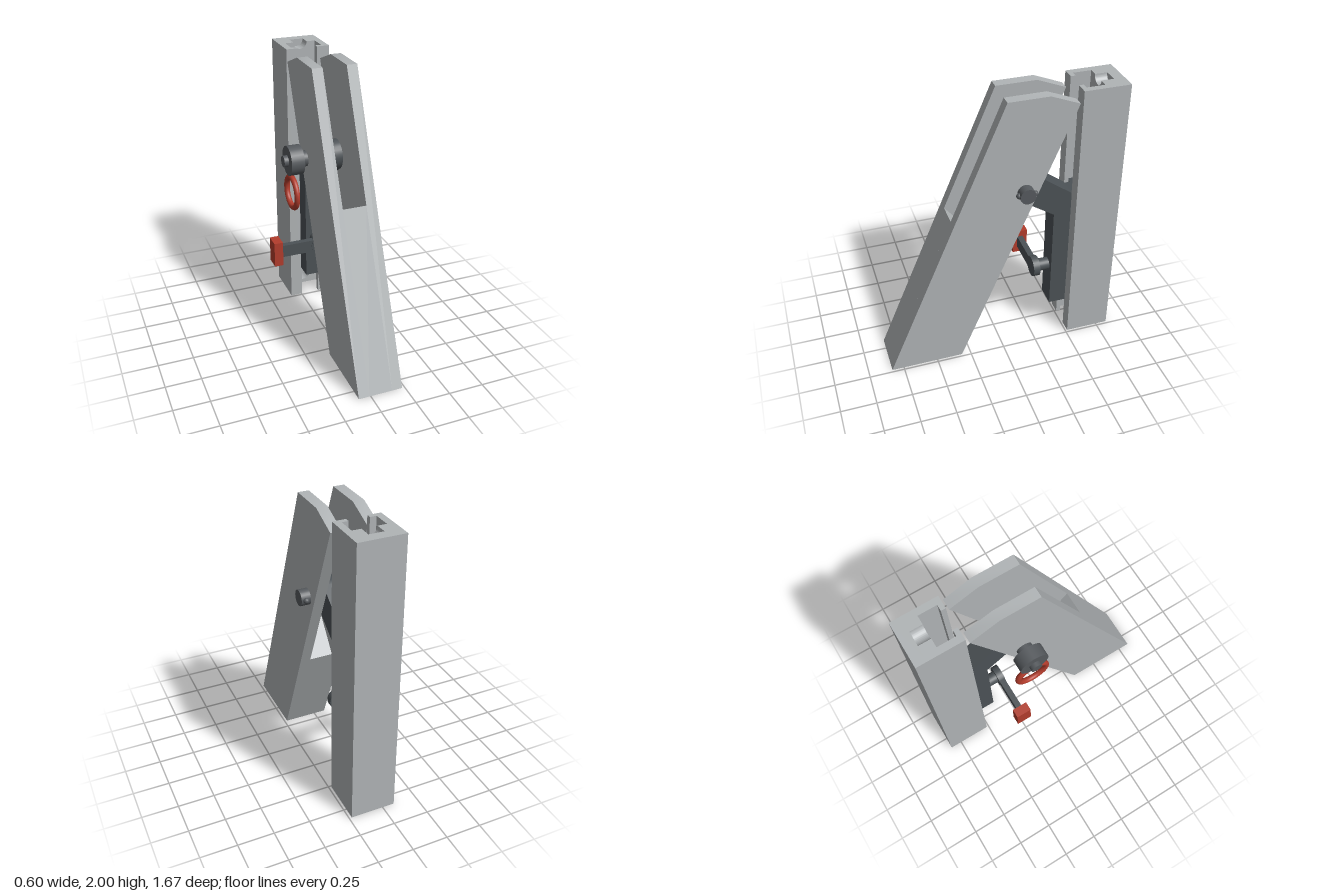
import * as THREE from 'three';
import { toCreasedNormals } from 'three/addons/utils/BufferGeometryUtils.js';

const CX = 0.073;                 // centre line of the body in x
const HALF = 0.158;               // half width of rail and leg
const PIVOT = { y: 1.335, z: -0.145 };
const KNOB_Y = 0.565;

const mat = (name, color) => {
  const m = new THREE.MeshStandardMaterial({ color });
  m.name = name;
  return m;
};

export function createModel() {
  const model = new THREE.Group();
  model.name = 'clampStand';
  const light = mat('light grey', 0xb0b4b6);
  const dark = mat('slate grey', 0x4c5256);
  const pinGrey = mat('pin grey', 0x565a5e);
  const red = mat('red', 0xb23c2c);

  const group = (name) => {
    const g = new THREE.Group();
    g.name = name;
    model.add(g);
    return g;
  };
  const add = (parent, name, geometry, material) => {
    const m = new THREE.Mesh(geometry, material);
    m.name = name;
    parent.add(m);
    return m;
  };
  const box = (x0, x1, y0, y1, z0, z1) =>
    new THREE.BoxGeometry(x1 - x0, y1 - y0, z1 - z0)
      .translate((x0 + x1) / 2, (y0 + y1) / 2, (z0 + z1) / 2);
  const extrude = (shape, depth) => toCreasedNormals(
    new THREE.ExtrudeGeometry(shape, { depth, bevelEnabled: false, curveSegments: 16 }), 0.5);
  // Side profile given as [z, y], extruded from x0 to x1
  const sideProfile = (points, x0, x1) =>
    extrude(new THREE.Shape(points.map(([z, y]) => new THREE.Vector2(-z, y))), x1 - x0)
      .rotateY(Math.PI / 2).translate(x0, 0, 0);
  // Plan profile given as [x, z], extruded from y0 to y1
  const planProfile = (points, y0, y1) =>
    extrude(new THREE.Shape(points.map(([x, z]) => new THREE.Vector2(x, -z))), y1 - y0)
      .rotateX(-Math.PI / 2).translate(0, y0, 0);
  // Cylinder along x on the pivot axis
  const pivotCylinder = (r, x0, x1) =>
    new THREE.CylinderGeometry(r, r, x1 - x0, 28).rotateZ(Math.PI / 2)
      .translate((x0 + x1) / 2, PIVOT.y, PIVOT.z);

  // Rail: lipped side walls form the T slot
  const rail = group('rail');
  for (const s of [-1, 1]) {
    add(rail, s < 0 ? 'railRightWall' : 'railLeftWall', planProfile([
      [CX + s * HALF, -0.515], [CX + s * 0.068, -0.515], [CX + s * 0.068, -0.548],
      [CX + s * 0.111, -0.548], [CX + s * 0.111, -0.675], [CX + s * HALF, -0.675],
    ], 0, 2), light);
  }
  // Slot floor with locating holes, the topmost cut in half by the rail end
  const floor = new THREE.Shape();
  floor.moveTo(CX - HALF, 0);
  floor.lineTo(CX + HALF, 0);
  floor.lineTo(CX + HALF, 2);
  floor.lineTo(CX + 0.05, 2);
  floor.absarc(CX, 2, 0.05, 0, -Math.PI, true);
  floor.lineTo(CX - HALF, 2);
  for (let i = 1; i <= 4; i++) {
    const hole = new THREE.Path();
    hole.absarc(CX, 2 - i * 0.48, 0.05, 0, Math.PI * 2, true);
    floor.holes.push(hole);
  }
  add(rail, 'railSlotFloor', extrude(floor, 0.085).translate(0, 0, -0.76), light);
  add(rail, 'railBack', box(CX - HALF, CX + HALF, 0, 2, -0.835, -0.76), light);

  // Leg: two cheeks with a shorter core, leaving a fork at the top
  const leg = group('leg');
  const cheek = [[0.835, 0], [-0.015, 2], [-0.295, 2], [-0.495, 1.92], [0.315, 0]];
  add(leg, 'legRightCheek', sideProfile(cheek, CX - HALF, -0.01), light);
  add(leg, 'legLeftCheek', sideProfile(cheek, 0.157, CX + HALF), light);
  add(leg, 'legCore',
    sideProfile([[0.835, 0], [0.345, 1.153], [0.005, 0.735], [0.315, 0]], -0.01, 0.157), light);

  // Sliding bracket: upright plate with an arm rounded about the pivot
  const bracket = group('bracket');
  const arm = [[-0.39, 0.245], [-0.39, 1.045]];
  const tilt = Math.atan2(0.17, 0.24);
  for (let i = 0; i <= 12; i++) {
    const a = tilt - Math.PI / 2 + (Math.PI * i) / 12;
    arm.push([PIVOT.z + 0.107 * Math.cos(a), PIVOT.y + 0.107 * Math.sin(a)]);
  }
  arm.push([-0.513, 1.2], [-0.513, 0.245]);
  add(bracket, 'bracketArm', sideProfile(arm, -0.002, 0.148), dark);
  add(bracket, 'slideNeck', box(CX - 0.06, CX + 0.06, 0.245, 1.2, -0.552, -0.512), dark);
  add(bracket, 'slideHead', box(CX - 0.104, CX + 0.104, 0.245, 1.2, -0.67, -0.552), dark);

  // Locking lever on the bracket
  const lever = group('lockLever');
  const stem = (name, r, z0, z1) => add(lever, name,
    new THREE.CylinderGeometry(r, r, z1 - z0, 28).rotateX(Math.PI / 2)
      .translate(CX, KNOB_Y, (z0 + z1) / 2), dark);
  stem('leverStem', 0.045, -0.395, -0.305);
  stem('leverDisc', 0.075, -0.31, -0.262);
  add(lever, 'leverBar', box(-0.24, CX, 0.517, 0.61, -0.308, -0.266), dark);
  add(lever, 'leverGrip', box(-0.302, -0.237, 0.47, 0.658, -0.342, -0.232), red);

  // Quick release pin through the fork
  const pin = group('releasePin');
  add(pin, 'pinShaft', pivotCylinder(0.055, -0.13, 0.296), pinGrey);
  add(pin, 'pinCollar', pivotCylinder(0.104, -0.219, -0.126), pinGrey);
  add(pin, 'pinButton', pivotCylinder(0.04, -0.25, -0.215), pinGrey);
  for (const s of [-1, 1]) {
    add(pin, 'pinBall', new THREE.SphereGeometry(0.02, 16, 10)
      .translate(0.265, PIVOT.y, PIVOT.z + s * 0.055), pinGrey);
  }
  add(pin, 'pullRing', new THREE.TorusGeometry(0.11, 0.02, 12, 40).rotateY(Math.PI / 2)
    .translate(-0.188, 1.095, PIVOT.z - 0.002), red);

  return model;
}
